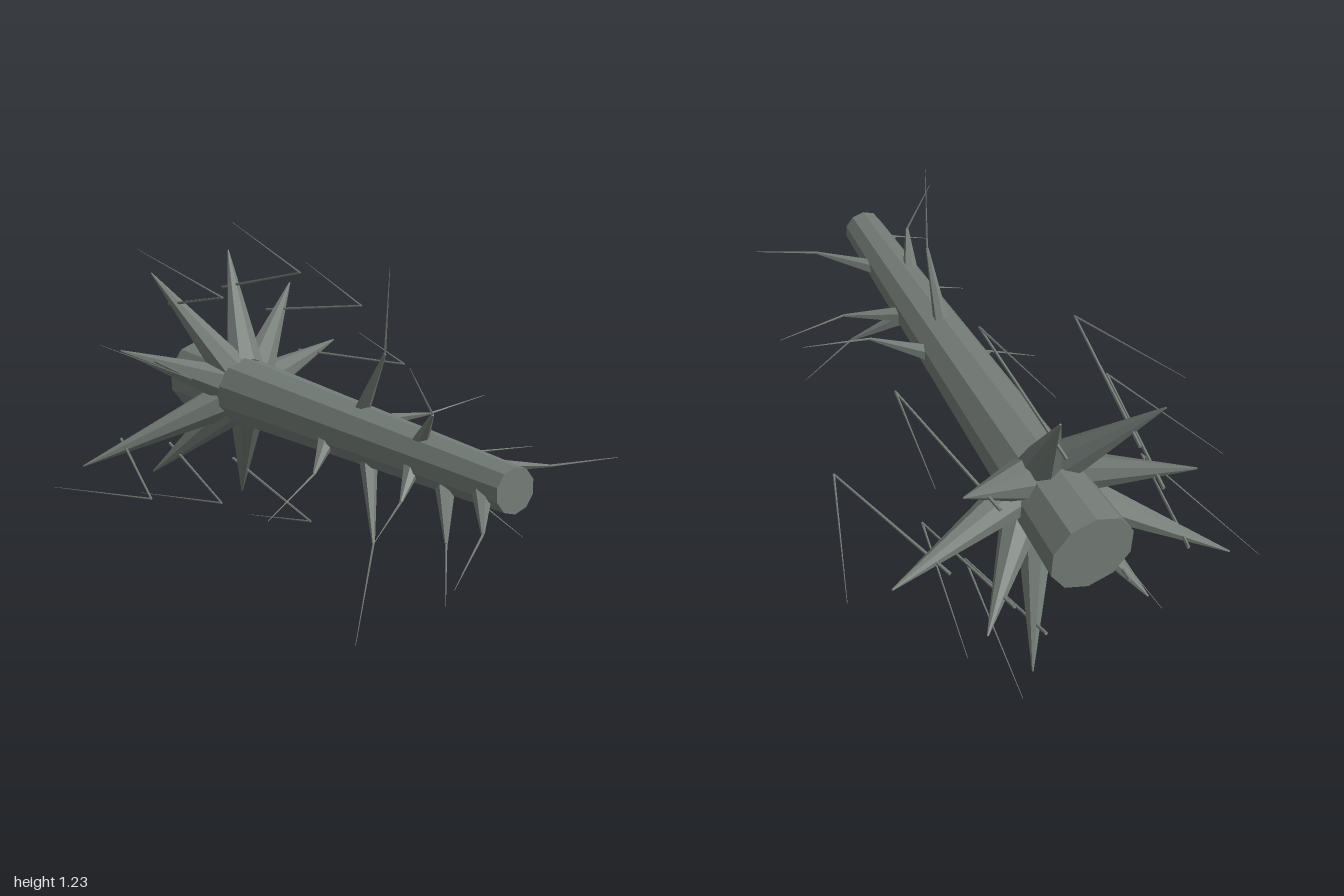
import * as THREE from 'three';

const V = (x, y, z) => new THREE.Vector3(x, y, z);

export function createModel() {
  const group = new THREE.Group();
  const bark = new THREE.MeshStandardMaterial({ color: 0x747c77, flatShading: true });
  bark.name = 'grey bark';

  // Tapered limb from point a to point b
  function limb(name, a, b, ra, rb, sides, parent) {
    const dir = b.clone().sub(a);
    const mesh = new THREE.Mesh(new THREE.CylinderGeometry(rb, ra, dir.length(), sides), bark);
    mesh.quaternion.setFromUnitVectors(V(0, 1, 0), dir.normalize());
    mesh.position.copy(a).add(b).multiplyScalar(0.5);
    mesh.name = name;
    parent.add(mesh);
  }

  // Fallen trunk, thick at the root end
  limb('trunk', V(-0.04, 0.627, -1), V(-0.072, 0.664, 0.89), 0.14, 0.073, 10, group);

  // Roots: a swept-back spike, and a thin rootlet folded into a V, around the hub
  const hub = V(-0.04, 0.635, 0);
  const rootEnds = [
    [-0.32, 1.16], [0.095, 1.23], [0.445, 1.035], [0.71, 0.71], [0.34, 0.3],
    [0.14, 0.002], [-0.355, 0.2], [-0.715, 0.295], [-0.495, 0.815],
  ];
  rootEnds.forEach(([x, y]) => {
    const root = new THREE.Group();
    root.name = 'root';
    const end = V(x, y, 0);
    const along = (t, z) => hub.clone().lerp(end, t).setZ(z);
    const inner = 0.085 / hub.distanceTo(end);
    limb('rootSpike', along(inner, -0.69), along(0.82, -0.95), 0.072, 0.003, 8, root);
    limb('rootletInner', along(0.58, -0.945), along(0.79, -0.435), 0.006, 0.004, 5, root);
    limb('rootletOuter', along(0.79, -0.435), along(1, -0.955), 0.004, 0.001, 5, root);
    group.add(root);
  });

  // Broken branches: base, elbow and tip of each
  const branches = [
    [[-0.055, 0.69, 0.09], [-0.065, 0.95, 0.25], [-0.078, 1.235, 0.29]],
    [[-0.09, 0.7, 0.46], [-0.125, 0.83, 0.57], [-0.22, 0.99, 0.575]],
    [[-0.12, 0.64, 0.8], [-0.22, 0.57, 0.92], [-0.39, 0.47, 1.0]],
    [[-0.12, 0.61, 0.63], [-0.2, 0.48, 0.735], [-0.26, 0.32, 0.81]],
    [[-0.02, 0.66, 0.61], [0.16, 0.67, 0.79], [0.37, 0.68, 0.875]],
    [[-0.12, 0.64, 0.47], [-0.22, 0.56, 0.54], [-0.37, 0.475, 0.6]],
    [[-0.02, 0.6, 0.36], [0.15, 0.47, 0.47], [0.33, 0.31, 0.505]],
    [[0.01, 0.645, 0.32], [0.19, 0.62, 0.43], [0.44, 0.59, 0.42]],
    [[-0.1, 0.59, 0.21], [-0.19, 0.36, 0.36], [-0.32, 0.065, 0.44]],
    [[0.02, 0.66, 0.05], [0.19, 0.69, 0.17], [0.43, 0.72, 0.18]],
    [[-0.13, 0.61, 0.01], [-0.25, 0.54, 0.11], [-0.455, 0.43, 0.145]],
  ];
  branches.forEach((points) => {
    const branch = new THREE.Group();
    branch.name = 'branch';
    const [base, elbow, tip] = points.map((p) => V(...p));
    limb('branchStub', base, elbow, 0.031, 0.005, 6, branch);
    limb('twig', elbow, tip, 0.004, 0.001, 5, branch);
    group.add(branch);
  });

  return group;
}
